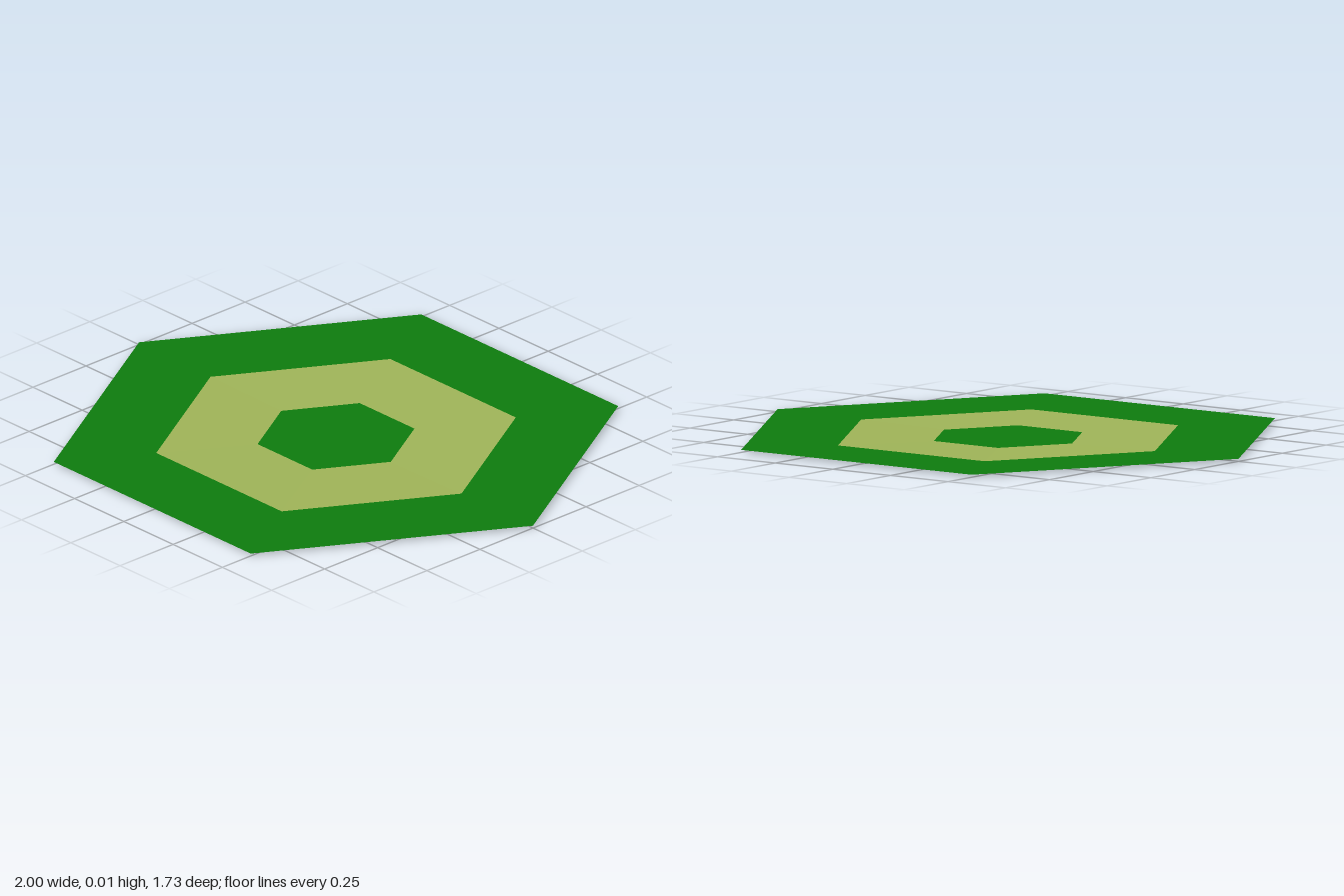
import * as THREE from 'three';

export function createModel() {
  const group = new THREE.Group();
  const flat = (name, color) => {
    const m = new THREE.MeshStandardMaterial({ color, side: THREE.DoubleSide, flatShading: true });
    m.name = name;
    return m;
  };
  const green = flat('leaf green', 0x0e7c0e);
  const lime = flat('pale olive', 0x9fb458);

  // Very shallow dish: height grows from the centre panel out to the rim
  const INNER = 0.278, MIDDLE = 0.637, OUTER = 1, RISE = 0.009;
  const lift = (r) => Math.max(0, (r - INNER) / (OUTER - INNER)) * RISE;

  // Lay a hexagonal panel flat, face up, and dish it
  const add = (name, geometry, material) => {
    geometry.rotateX(-Math.PI / 2);
    const p = geometry.attributes.position;
    for (let i = 0; i < p.count; i++) p.setY(i, lift(Math.hypot(p.getX(i), p.getZ(i))));
    geometry.computeVertexNormals();
    const mesh = new THREE.Mesh(geometry, material);
    mesh.name = name;
    group.add(mesh);
  };

  add('centreHexagon', new THREE.CircleGeometry(INNER, 6), green);
  add('middleRing', new THREE.RingGeometry(INNER, MIDDLE, 6, 1), lime);
  add('outerRing', new THREE.RingGeometry(MIDDLE, OUTER, 6, 1), green);

  return group;
}
